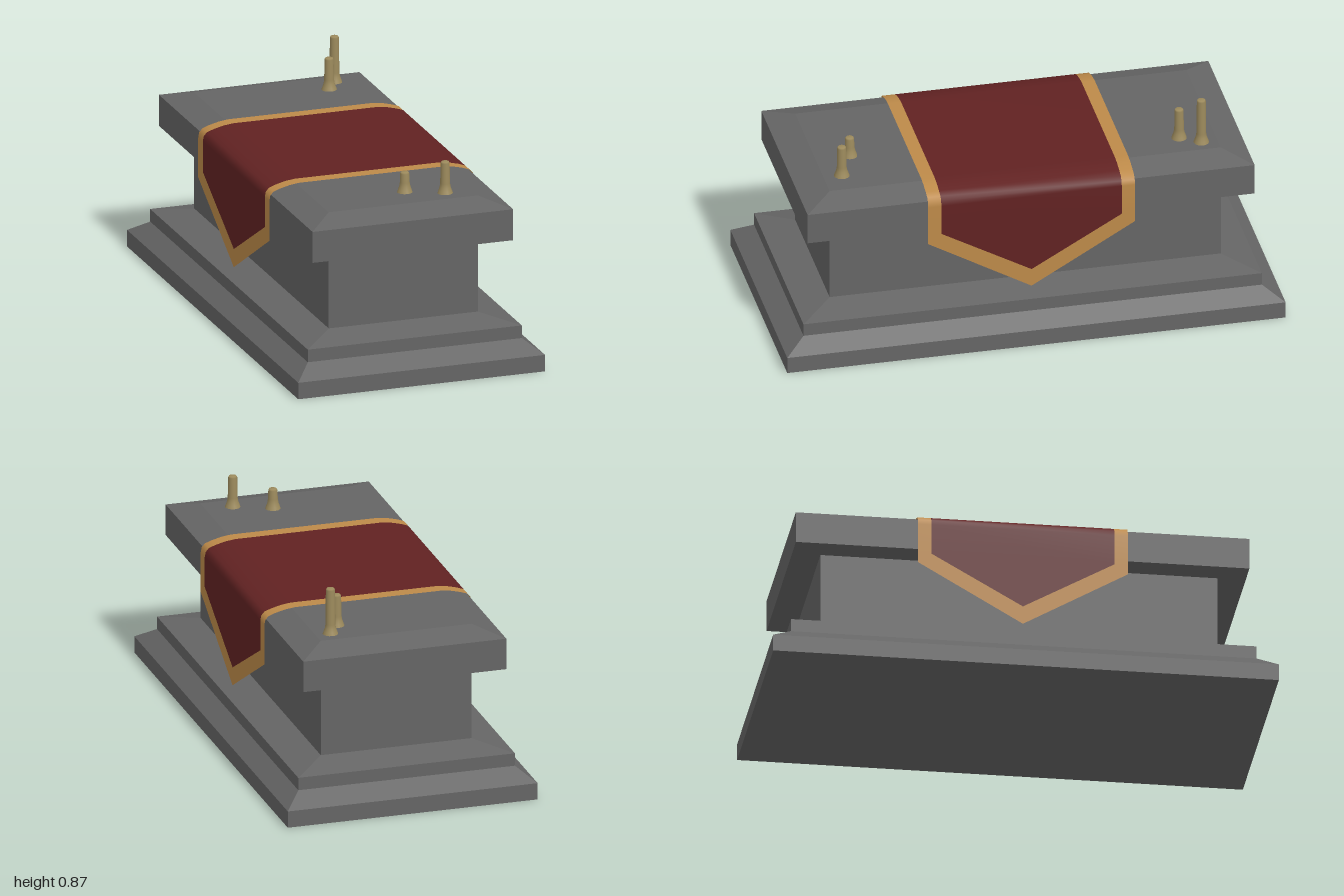
import * as THREE from 'three';

const stone = new THREE.MeshStandardMaterial({ color: 0x656565 });
stone.name = 'grey stone';
const red = new THREE.MeshStandardMaterial({ color: 0x612222, side: THREE.DoubleSide });
red.name = 'dark red cloth';
const gold = new THREE.MeshStandardMaterial({ color: 0xbd8a49, side: THREE.DoubleSide });
gold.name = 'gold trim';
const wax = new THREE.MeshStandardMaterial({ color: 0x9c8a5c });
wax.name = 'tan wax';

// Rectangular block with sloping sides: half sizes at the bottom and the top
function block(name, [x0, z0, y0], [x1, z1, y1]) {
  const g = new THREE.BoxGeometry(2, 1, 2).toNonIndexed();
  const p = g.attributes.position;
  for (let i = 0; i < p.count; i++) {
    const top = p.getY(i) > 0;
    p.setXYZ(i, p.getX(i) * (top ? x1 : x0), top ? y1 : y0, p.getZ(i) * (top ? z1 : z0));
  }
  g.computeVertexNormals();
  const mesh = new THREE.Mesh(g, stone);
  mesh.name = name;
  return mesh;
}

// Runner draped across the slab, with pointed ends and a border
function makeCloth() {
  const half = [
    [0.425, 0.22], [0.425, 0.295], [0.425, 0.46], [0.425, 0.5], [0.425, 0.625],
    [0.421, 0.646], [0.408, 0.661], [0.38, 0.671], [0.34, 0.681], [0.3, 0.686],
  ];
  const profile = [...half, ...half.map(([x, y]) => [-x, y]).reverse()];
  const outer = (y) => 0.415 * Math.min(1, (y - 0.22) / 0.24);
  const inner = (y) => 0.362 * THREE.MathUtils.clamp((y - 0.295) / 0.205, 0, 1);
  const pos = [], trim = [], centre = [];
  profile.forEach(([x, y], i) => {
    for (const z of [-outer(y), -inner(y), inner(y), outer(y)]) pos.push(x, y, z);
    if (i === 0) return;
    for (let k = 0; k < 3; k++) {
      const a = (i - 1) * 4 + k, b = i * 4 + k;
      (k === 1 ? centre : trim).push(a, b, b + 1, a, b + 1, a + 1);
    }
  });
  const g = new THREE.BufferGeometry();
  g.setAttribute('position', new THREE.Float32BufferAttribute(pos, 3));
  // wind faces outward (upward on the top)
  const flip = (list) => list.map((_, i) => list[i - (i % 3) + [0, 2, 1][i % 3]]);
  g.setIndex([...flip(trim), ...flip(centre)]);
  g.addGroup(0, trim.length, 0);
  g.addGroup(trim.length, centre.length, 1);
  g.computeVertexNormals();
  const mesh = new THREE.Mesh(g, [gold, red]);
  mesh.name = 'altarCloth';
  return mesh;
}

// Candle with a flared, melted foot and a slightly bevelled tip
function makeCandle(x, z, h) {
  const pts = [
    [0.031, 0], [0.027, 0.012], [0.022, 0.026], [0.0195, 0.042],
    [0.018, h - 0.006], [0.015, h], [0, h],
  ].map(([r, y]) => new THREE.Vector2(r, y));
  const mesh = new THREE.Mesh(new THREE.LatheGeometry(pts, 14), wax);
  mesh.position.set(x, 0.681, z);
  mesh.name = 'candle';
  return mesh;
}

export function createModel() {
  const model = new THREE.Group();
  model.name = 'altar';
  // Stepped base, pedestal and slab
  model.add(
    block('plinth', [0.513, 1, 0], [0.513, 1, 0.068]),
    block('plinthSlope', [0.513, 1, 0.068], [0.445, 0.92, 0.12]),
    block('step', [0.445, 0.92, 0.12], [0.445, 0.92, 0.172]),
    block('stepSlope', [0.445, 0.92, 0.172], [0.31, 0.785, 0.202]),
    block('pedestal', [0.31, 0.785, 0.202], [0.31, 0.785, 0.52]),
    block('slab', [0.417, 0.897, 0.52], [0.417, 0.897, 0.648]),
    block('slabBevel', [0.417, 0.897, 0.648], [0.31, 0.785, 0.682]),
  );
  model.add(makeCloth());
  // Candles: x, z, height
  for (const c of [[0.055, 0.648, 0.084], [0.2, 0.712, 0.131], [0.2, -0.642, 0.131], [0.25, -0.72, 0.191]]) {
    model.add(makeCandle(...c));
  }
  return model;
}
